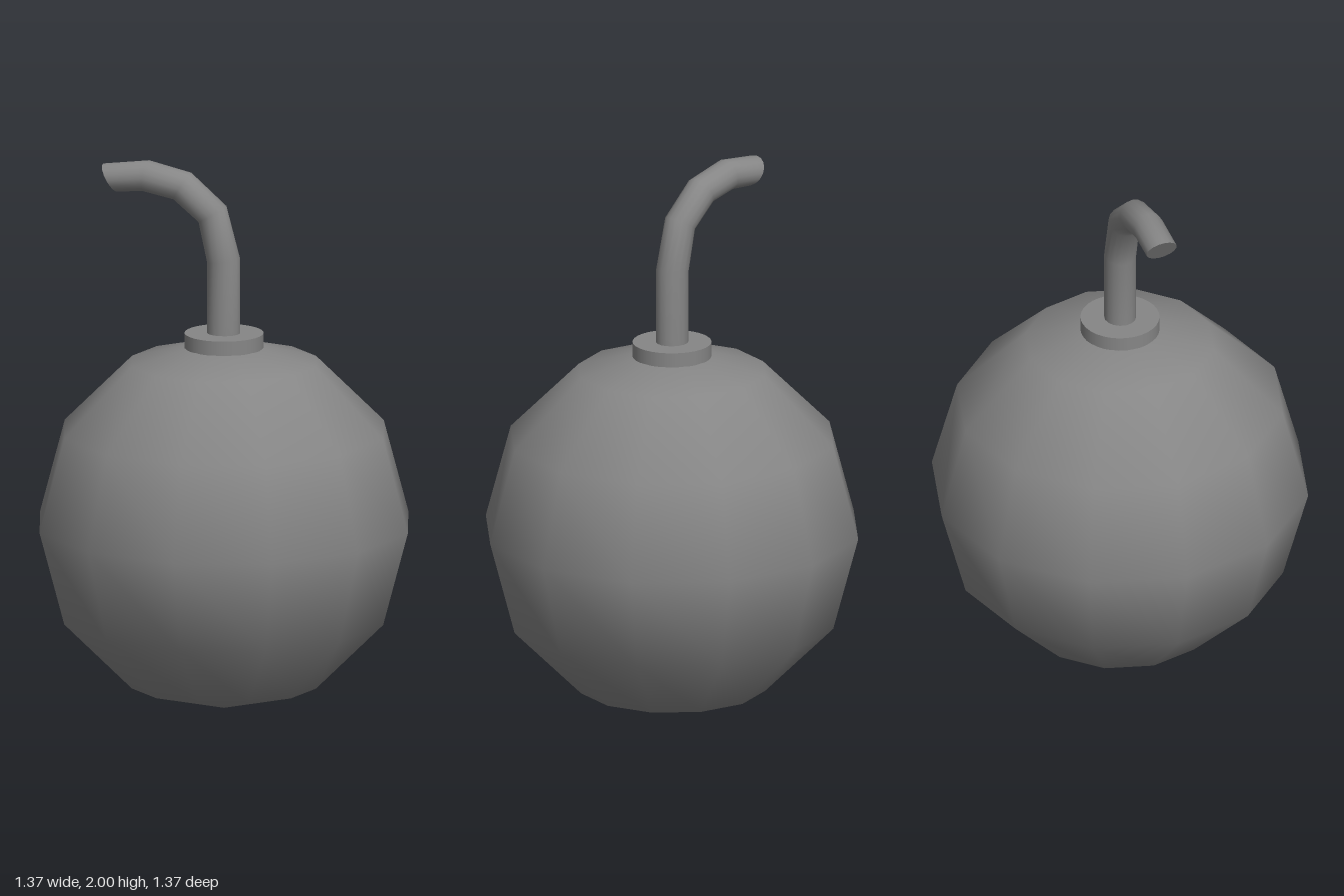
import * as THREE from 'three';
import { toCreasedNormals } from 'three/addons/utils/BufferGeometryUtils.js';

const material = new THREE.MeshStandardMaterial({ color: 0x868686 });

// Fuse rings from tip to base: [centre x, centre y, tilt in degrees, half width]
const FUSE_RINGS = [
  [-0.422, 1.928, 120, 0.057],
  [-0.291, 1.943, 82, 0.057],
  [-0.155, 1.913, 59, 0.058],
  [-0.043, 1.817, 31, 0.058],
  [-0.002, 1.65, 8, 0.06],
  [-0.001, 1.36, 0, 0.06],
];

// Bends a capped cylinder by moving each row of vertices onto its ring
function bentRod(rings, depth, sides) {
  const rows = rings.length - 1;
  const geometry = new THREE.CylinderGeometry(1, 1, rows, sides, rows);
  const pos = geometry.attributes.position;
  for (let i = 0; i < pos.count; i++) {
    const [cx, cy, tilt, width] = rings[Math.round(rows / 2 - pos.getY(i))];
    const a = THREE.MathUtils.degToRad(tilt);
    const x = pos.getX(i) * width;
    pos.setXYZ(i, cx + x * Math.cos(a), cy + x * Math.sin(a), pos.getZ(i) * depth);
  }
  return toCreasedNormals(geometry, 0.9);
}

export function createModel() {
  const group = new THREE.Group();
  const add = (name, geometry, y = 0) => {
    const mesh = new THREE.Mesh(geometry, material);
    mesh.name = name;
    mesh.position.y = y;
    group.add(mesh);
  };

  // Round body, low-poly with smooth shading
  add('body', new THREE.SphereGeometry(0.684, 12, 6), 0.684);

  // Flat collar on top of the body
  add('collar', new THREE.CylinderGeometry(0.142, 0.142, 0.1, 32), 1.332);

  // Curved fuse leaning to the model's right
  add('fuse', bentRod(FUSE_RINGS, 0.057, 16));

  return group;
}
